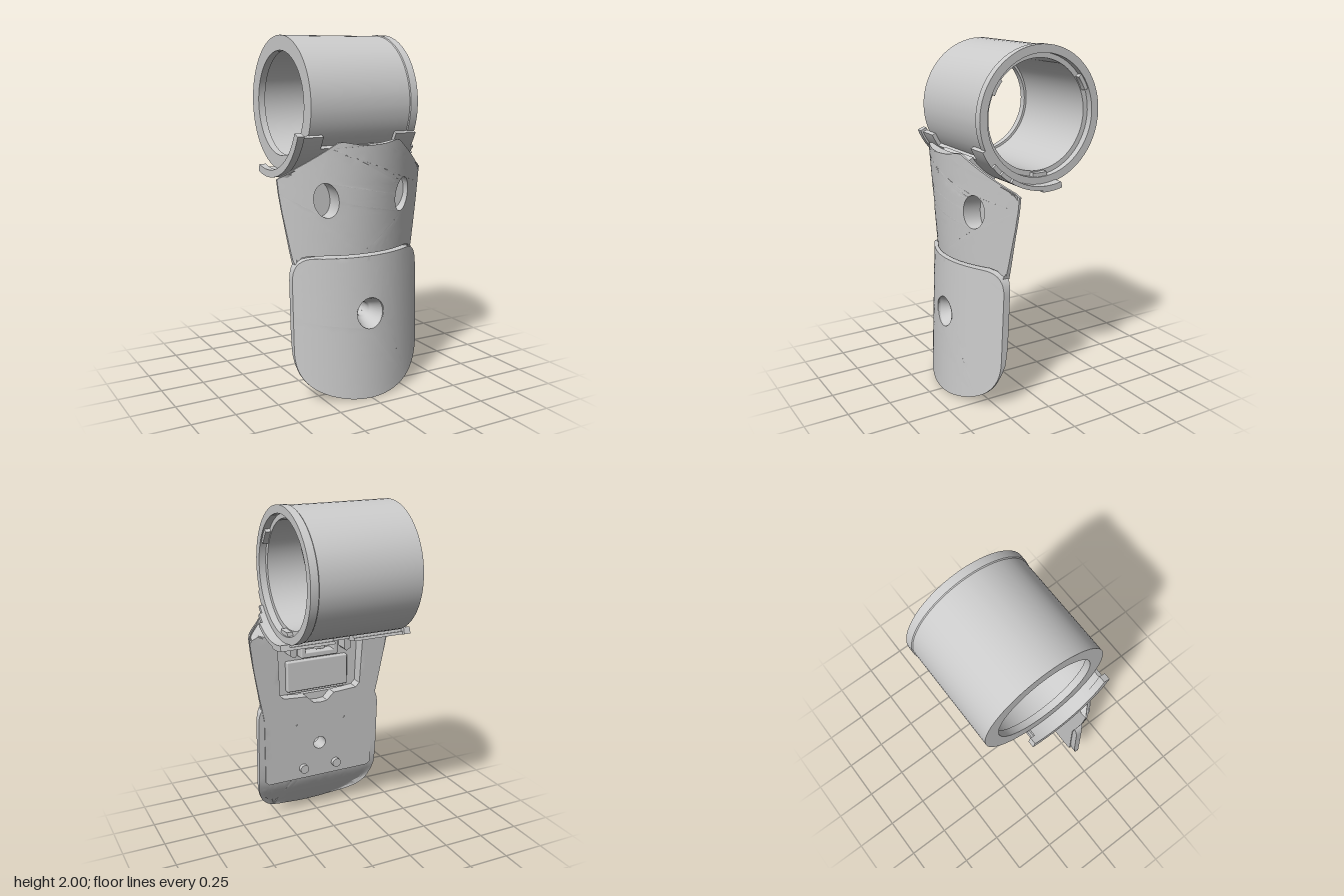
import * as THREE from 'three';
import { toCreasedNormals } from 'three/addons/utils/BufferGeometryUtils.js';
import { RoundedBoxGeometry } from 'three/addons/geometries/RoundedBoxGeometry.js';

const CY = 1.625, CZ = -0.04, STEP = 0.06;
const grey = new THREE.MeshStandardMaterial({ color: 0xcccccc });
const greyDouble = new THREE.MeshStandardMaterial({ color: 0xcccccc, side: THREE.DoubleSide });
const V2 = (x, y) => new THREE.Vector2(x, y);
const rad = THREE.MathUtils.degToRad;

// Surface rules: depth z as a function of x and y
const backPlane = y => 0.165 + (1.24 - y) * 0.045;
const ringCut = y => y > 1.19 ? CZ + Math.sqrt(Math.max(0, 0.44 ** 2 - (CY - y) ** 2)) : -1;
const upperFront = (x, y) => 0.366 + (y - 0.82) * 0.072 - 1.07 * x * x;
const lowerFront = (x, y) => 0.415 - y * 0.042 - 0.95 * x * x;
const FLOOR = 0.25;
const chin = [[-1, 0.41], [0, 0.4], [0.06, 0.35], [0.13, 0.298], [0.2, 0.25], [0.27, 0.224], [0.38, 0.209], [0.83, 0.189]];
function chinBack(y) {
  const i = chin.findIndex(c => y <= c[0]);
  const [y0, z0] = chin[i - 1], [y1, z1] = chin[i];
  return z0 + (z1 - z0) * (y - y0) / (y1 - y0);
}

function densify(points) {
  const out = [];
  points.forEach((a, i) => {
    const b = points[(i + 1) % points.length];
    const n = Math.max(1, Math.ceil(a.distanceTo(b) / (STEP * 0.95)));
    for (let k = 0; k < n; k++) out.push(a.clone().lerp(b, k / n));
  });
  return out;
}

// Plate between two depth rules, with an outline and holes, finely divided so that it can bow
function slab(outline, holes, front, back) {
  const orient = (p, ccw) => THREE.ShapeUtils.isClockWise(p) === ccw ? p.slice().reverse() : p;
  const contour = densify(orient(outline, true));
  const cuts = holes.map(h => densify(orient(h, false)));
  const all = [contour, ...cuts].flat();
  const pos = [];
  const put = (p, f) => pos.push(p.x, p.y, f(p.x, p.y));
  const split = (a, b, c) => {
    const ab = a.distanceTo(b), bc = b.distanceTo(c), ca = c.distanceTo(a);
    if (Math.max(ab, bc, ca) <= STEP) {
      [a, b, c].forEach(p => put(p, front));
      [a, c, b].forEach(p => put(p, back));
      return;
    }
    // Halve the longest edge, turning the triangle so that it comes first
    let [p, q, r] = [a, b, c];
    if (bc > ab && bc >= ca) [p, q, r] = [b, c, a];
    else if (ca > ab) [p, q, r] = [c, a, b];
    const mid = p.clone().add(q).multiplyScalar(0.5);
    split(p, mid, r);
    split(mid, q, r);
  };
  THREE.ShapeUtils.triangulateShape(contour, cuts).forEach(t => split(all[t[0]], all[t[1]], all[t[2]]));
  [contour, ...cuts].forEach(loop => loop.forEach((a, i) => {
    const b = loop[(i + 1) % loop.length];
    put(a, back); put(b, back); put(b, front);
    put(a, back); put(b, front); put(a, front);
  }));
  const g = new THREE.BufferGeometry();
  g.setAttribute('position', new THREE.Float32BufferAttribute(pos, 3));
  return toCreasedNormals(g, rad(32));
}

const ellipse = (x, y, rx, ry, tilt = 0, n = 28) =>
  new THREE.EllipseCurve(x, y, rx, ry, 0, Math.PI * 2, false, tilt).getPoints(n).slice(0, n);

// Mirror a half outline (bottom centre to top centre) into a full one
const mirrored = half => [...half, ...half.filter(p => p.x > 1e-4).reverse().map(p => V2(-p.x, p.y))];

// Curved band about the ring axis; angles in degrees, -90 is the bottom and -180 the front
function band(r0, r1, a0, a1, x0, x1) {
  const s = new THREE.Shape();
  s.absarc(0, 0, r1, rad(a0), rad(a1), false);
  s.absarc(0, 0, r0, rad(a1), rad(a0), true);
  const g = new THREE.ExtrudeGeometry(s, { depth: x1 - x0, bevelEnabled: false, curveSegments: 24 });
  g.rotateY(Math.PI / 2).translate(x0, CY, CZ);
  return toCreasedNormals(g, rad(32));
}

export function createModel() {
  const model = new THREE.Group();
  const add = (name, geometry, material = grey) => {
    const m = new THREE.Mesh(geometry, material);
    m.name = name;
    model.add(m);
  };

  // Ring with a rim on the left and a lip in the bore on the right
  const profile = [[0.288, -0.33], [0.37, -0.33], [0.37, 0.28], [0.375, 0.285], [0.375, 0.33], [0.33, 0.33],
    [0.33, 0.29], [0.302, 0.29], [0.302, -0.29], [0.288, -0.29], [0.288, -0.33]].map(p => V2(...p));
  const ring = new THREE.LatheGeometry(profile, 64).rotateZ(-Math.PI / 2).translate(0, CY, CZ);
  add('ring', toCreasedNormals(ring, rad(32)));
  [30, 148, 270].forEach(a => add('ringLug', band(0.308, 0.335, a - 8, a + 8, 0.285, 0.322)));

  // Cradle under the ring
  add('cradle', band(0.368, 0.392, -156, -77, 0.2, 0.33));
  add('cradle', band(0.368, 0.392, -145, -77, 0.06, 0.2));
  add('cradle', band(0.368, 0.392, -145, -84, -0.06, 0.06));
  add('cradle', band(0.368, 0.392, -145, -77, -0.25, -0.06));
  add('cradle', band(0.368, 0.392, -156, -77, -0.375, -0.25));
  [[0.33, 0.35, -142], [0.35, 0.367, -134], [0.367, 0.386, -124]].forEach(([x0, x1, a]) =>
    add('cradleWing', band(0.368, 0.392, a, -75, x0, x1)));
  add('cradleLip', band(0.362, 0.403, -158, -72, -0.41, -0.37));
  [[-0.37, -0.06], [0.06, 0.386]].forEach(([x0, x1]) =>
    add('cradleRearRib', band(0.385, 0.402, -93, -75, x0, x1)));
  add('cradleMount', band(0.388, 0.45, -146, -118, -0.16, 0.16));

  // Upper cover with two oval holes
  const sides = [V2(0.375, 0.76), V2(0.392, 0.84), V2(0.412, 0.95), V2(0.432, 1.06), V2(0.447, 1.16), V2(0.455, 1.235)];
  const upperHalf = [V2(0, 0.824), V2(0.31, 0.822), V2(0.345, 0.81), V2(0.365, 0.785), ...sides,
    V2(0.44, 1.255), V2(0.19, 1.437), V2(0.165, 1.44), V2(0.08, 1.424), V2(0, 1.42)];
  const ovals = [-1, 1].map(s => ellipse(s * 0.238, 1.128, 0.06, 0.096, -s * 0.17));
  const coverBack = (x, y) => Math.min(Math.max(FLOOR, ringCut(y)), upperFront(x, y) - 0.012);
  add('upperCover', slab(mirrored(upperHalf), ovals, upperFront, coverBack));
  ovals.forEach(o => add('ovalHoleFloor',
    new THREE.ShapeGeometry(new THREE.Shape(o)).translate(0, 0, FLOOR), greyDouble));

  // Lower cover with rounded corners and a sloping chin, hollow behind the pocket
  const lower = new THREE.Shape();
  lower.moveTo(0, 0.005);
  lower.bezierCurveTo(0.13, 0.005, 0.25, 0.035, 0.315, 0.085);
  lower.bezierCurveTo(0.375, 0.135, 0.4, 0.2, 0.4, 0.3);
  lower.lineTo(0.4, 0.68);
  lower.bezierCurveTo(0.4, 0.77, 0.365, 0.812, 0.29, 0.812);
  lower.lineTo(0, 0.812);
  const lowerBack = (x, y) => Math.min(Math.abs(x) < 0.28 && y > 0.7 ? FLOOR : chinBack(y), lowerFront(x, y) - 0.01);
  add('lowerCover', slab(mirrored(lower.getPoints(9)), [ellipse(0, 0.49, 0.081, 0.088)], lowerFront, lowerBack));
  const sink = new THREE.LatheGeometry([V2(0.04, 0.2), V2(0.04, 0.3), V2(0.05, 0.305), V2(0.087, 0.39)], 32);
  add('screwHole', sink.rotateX(Math.PI / 2).translate(0, 0.49, 0), greyDouble);

  // Back panel with a pocket, screw hole and pin holes
  const panelHalf = [V2(0, 0.265), V2(0.34, 0.265), V2(0.36, 0.285), V2(0.365, 0.7), ...sides,
    V2(0.44, 1.255), V2(0.39, 1.288), V2(0, 1.288)];
  const pocket = mirrored([V2(0, 0.765), V2(0.045, 0.77), V2(0.09, 0.815), V2(0.24, 0.825), V2(0.265, 0.85),
    V2(0.28, 1.18), V2(0.265, 1.2), V2(0.215, 1.2), V2(0.2, 1.185), V2(0.198, 1.09), V2(0.17, 1.075),
    V2(0.155, 1.09), V2(0.155, 1.2), V2(0.14, 1.215), V2(0, 1.215)]);
  const pins = [-1, 1].map(s => ellipse(s * 0.16, 0.64, 0.008, 0.008, 0, 8));
  const panelBack = (x, y) => Math.max(backPlane(y), ringCut(y));
  const panelFront = (x, y) => {
    const f = y > 0.76 ? upperFront(x, y) : lowerFront(x, y);
    return Math.max(panelBack(x, y) + 0.002, Math.min(FLOOR, f - 0.012));
  };
  add('backPanel', slab(mirrored(panelHalf), [pocket, ellipse(0, 0.49, 0.04, 0.04), ...pins], panelFront, panelBack));

  // Raised parts in the pocket
  const box = (name, w, h, d, x, y, z) =>
    add(name, new RoundedBoxGeometry(w, h, d, 2, 0.008).translate(x, y, z));
  box('pocketPad', 0.4, 0.19, 0.04, 0, 0.94, 0.24);
  box('latchBar', 0.24, 0.035, 0.07, 0, 1.075, 0.225);
  [-1, 1].forEach(s => box('latchArm', 0.03, 0.12, 0.07, s * 0.105, 1.13, 0.225));
  box('latchTongue', 0.06, 0.13, 0.05, 0, 1.17, 0.205);
  add('latchHook', new THREE.CylinderGeometry(0.03, 0.03, 0.07, 20).rotateZ(Math.PI / 2).translate(0, 1.18, 0.18));

  // Pegs on the back
  [-1, 1].forEach(s => add('peg',
    new THREE.CylinderGeometry(0.028, 0.028, 0.04, 20).rotateX(Math.PI / 2).translate(s * 0.11, 0.335, 0.2)));

  return model;
}
